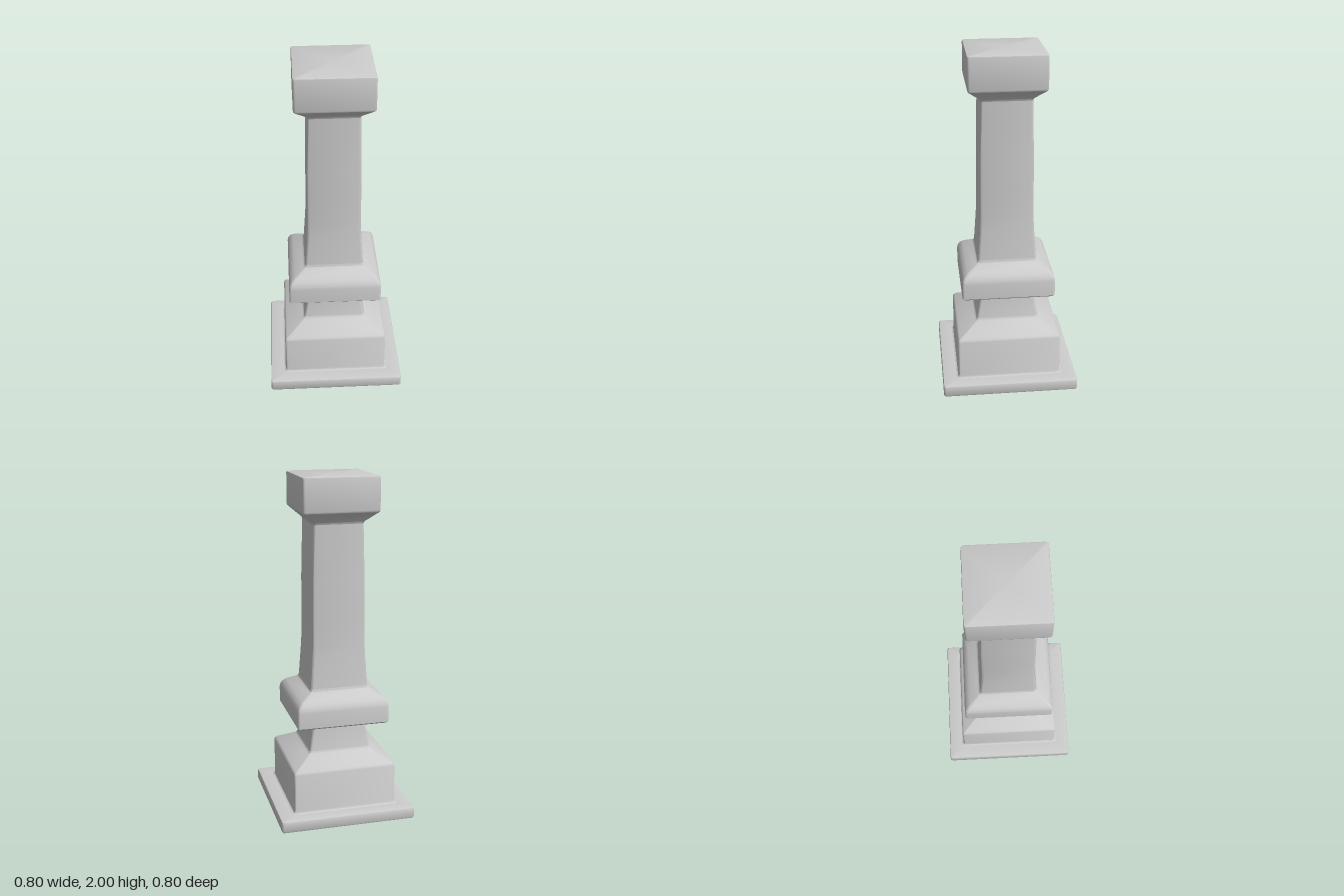
import * as THREE from 'three';
import { toCreasedNormals } from 'three/addons/utils/BufferGeometryUtils.js';

const ARC = 3; // segments per rounded corner

// Rounded-square ring of the given half width at height y
function ring(half, y) {
  const r = Math.min(0.014, half);
  const points = [];
  for (let corner = 0; corner < 4; corner++) {
    const mid = (corner + 0.5) * Math.PI / 2;
    const cx = Math.sign(Math.cos(mid)) * (half - r);
    const cz = Math.sign(Math.sin(mid)) * (half - r);
    for (let i = 0; i <= ARC; i++) {
      const a = (corner + i / ARC) * Math.PI / 2;
      points.push([cx + r * Math.cos(a), y, cz + r * Math.sin(a)]);
    }
  }
  return points;
}

// Skin square rings through a profile of [half width, height], bottom to top
function loftSquare(name, profile, material) {
  const rings = profile.map(([half, y]) => ring(half, y));
  const n = rings[0].length;
  const index = [];
  for (let k = 0; k < rings.length - 1; k++) {
    for (let j = 0; j < n; j++) {
      const a = k * n + j;
      const b = k * n + (j + 1) % n;
      if (profile[k][0] > 0) index.push(a, a + n, b);
      if (profile[k + 1][0] > 0) index.push(b, a + n, b + n);
    }
  }
  const geometry = new THREE.BufferGeometry();
  geometry.setAttribute('position', new THREE.Float32BufferAttribute(rings.flat(2), 3));
  geometry.setIndex(index);
  const mesh = new THREE.Mesh(toCreasedNormals(geometry, 0.6), material);
  mesh.name = name;
  return mesh;
}

export function createModel() {
  const group = new THREE.Group();
  group.name = 'pillar';
  const material = new THREE.MeshStandardMaterial({ color: 0xcccccc });

  // Stacked parts; a half width of 0 closes an end
  const parts = {
    plinth: [[0, 0], [0.39, 0], [0.397, 0.003], [0.4, 0.01], [0.4, 0.06], [0.397, 0.067], [0.39, 0.07], [0.318, 0.07]],
    pedestal: [[0.318, 0.07], [0.309, 0.074], [0.305, 0.085], [0.305, 0.31], [0.302, 0.318], [0.294, 0.326], [0.195, 0.383], [0.186, 0.39], [0.182, 0.4]],
    neck: [[0.182, 0.4], [0.157, 0.55], [0.157, 0.56], [0.167, 0.57]],
    collar: [[0.167, 0.57], [0.264, 0.57], [0.272, 0.578], [0.272, 0.67], [0.268, 0.69], [0.257, 0.711], [0.238, 0.728], [0.185, 0.758], [0.175, 0.766], [0.171, 0.78]],
    shaft: [[0.171, 0.78], [0.16, 0.95], [0.156, 1.03], [0.155, 1.2], [0.154, 1.4], [0.147, 1.73]],
    capital: [[0.147, 1.73], [0.151, 1.742], [0.214, 1.797], [0.22, 1.803], [0.222, 1.812], [0.222, 1.99], [0.22, 1.997], [0.213, 2], [0, 2]],
  };
  for (const [name, profile] of Object.entries(parts)) {
    group.add(loftSquare(name, profile, material));
  }
  return group;
}
